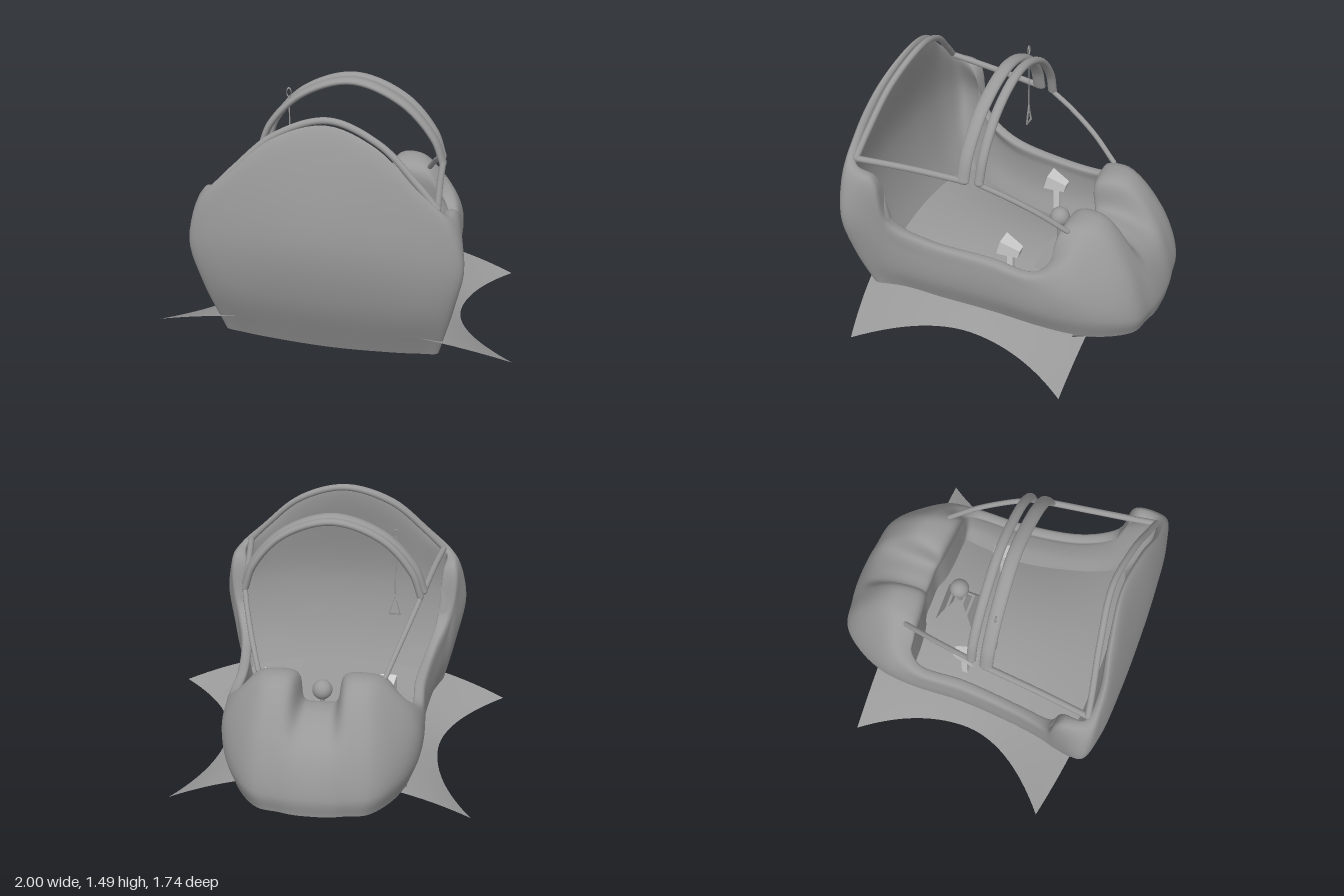
import * as THREE from 'three';

const paint = new THREE.MeshStandardMaterial({ color: 0x999999, side: THREE.DoubleSide });
const light = new THREE.MeshStandardMaterial({ color: 0xcccccc });
const V = (x, y, z) => new THREE.Vector3(x, y, z);

function part(parent, name, geometry, x = 0, y = 0, z = 0, material = paint) {
  const mesh = new THREE.Mesh(geometry, material);
  mesh.name = name;
  mesh.position.set(x, y, z);
  parent.add(mesh);
  return mesh;
}

// Surface through a grid of points; optionally closed along its first direction
function gridSurface(rows, closed) {
  const n = rows.length, m = rows[0].length, pos = [], idx = [];
  rows.forEach(r => r.forEach(p => pos.push(p.x, p.y, p.z)));
  for (let i = 0; i < (closed ? n : n - 1); i++) {
    for (let j = 0; j < m - 1; j++) {
      const a = i * m + j, b = ((i + 1) % n) * m + j;
      idx.push(a, a + 1, b, b, a + 1, b + 1);
    }
  }
  const g = new THREE.BufferGeometry();
  g.setAttribute('position', new THREE.Float32BufferAttribute(pos, 3));
  g.setIndex(idx);
  g.computeVertexNormals();
  return g;
}

// Half cross-sections: bottom, belly, shoulder, outer rim, inner rim
const nose = [
  [0, .12, -.855, 0, .23, -.87, 0, .47, -.77, 0, .60, -.56, 0, .58, -.40],
  [.10, .12, -.85, .10, .23, -.865, .10, .48, -.77, .09, .61, -.56, .09, .59, -.40],
  [.18, .12, -.83, .19, .23, -.85, .19, .53, -.75, .15, .76, -.55, .13, .735, -.375],
  [.30, .12, -.80, .33, .24, -.82, .31, .54, -.73, .27, .775, -.54, .28, .745, -.36],
  [.42, .13, -.66, .46, .28, -.68, .45, .52, -.60, .36, .74, -.49, .36, .72, -.355],
  [.49, .15, -.50, .54, .30, -.50, .54, .48, -.47, .48, .62, -.42, .44, .60, -.345]
];
const walls = [
  [.51, .155, -.32, .56, .30, -.31, .56, .45, -.30, .54, .53, -.28, .49, .53, -.27],
  [.50, .15, 0, .55, .30, 0, .555, .47, 0, .54, .54, 0, .49, .54, 0],
  [.53, .17, .32, .58, .32, .33, .59, .48, .34, .58, .585, .35, .53, .575, .35],
  [.56, .19, .50, .62, .36, .52, .64, .56, .53, .64, .70, .545, .58, .69, .545],
  [.58, .17, .58, .66, .42, .62, .695, .75, .625, .67, 1.0, .615, .60, .98, .62],
  [.60, .14, .64, .68, .48, .755, .735, .76, .785, .655, 1.03, .77, .61, 1.04, .74],
  [.50, .13, .655, .56, .48, .80, .59, .80, .84, .49, 1.18, .79, .47, 1.165, .765],
  [.28, .115, .66, .30, .48, .815, .30, .85, .865, .28, 1.365, .755, .27, 1.345, .73],
  [0, .105, .66, 0, .48, .82, 0, .87, .87, 0, 1.455, .72, 0, 1.435, .70]
];

// Adds the inside of the wall to a half section; the nose is filled up to its inner edge
function section(s) {
  const p = [0, 3, 6, 9, 12].map(i => V(s[i], s[i + 1], s[i + 2]));
  const q = p[4];
  const inset = o => {
    const k = 1 - .055 / Math.hypot(o.x, o.z);
    return V(o.x * k, o.y, q.z < 0 ? Math.max(o.z * k, q.z) : o.z * k);
  };
  const foot = inset(p[0]);
  if (q.z < -.3) foot.y = .2;
  return [...p, inset(p[2]), inset(p[1]), foot];
}

const mirrorRows = half => [
  ...half, ...half.slice(1).reverse().map(r => r.map(p => V(-p.x, p.y, p.z)))
];

function hullGeometry() {
  const ring = mirrorRows([...nose, ...walls].map(section));
  ring.splice(nose.length + walls.length, 1); // the front centre is shared
  const U = ring.length * 6, W = 42, rows = [];
  const rails = ring[0].map((_, j) => new THREE.CatmullRomCurve3(ring.map(r => r[j]), true));
  for (let i = 0; i < U; i++) {
    const profile = new THREE.CatmullRomCurve3(rails.map(c => c.getPoint(i / U)));
    rows.push(Array.from({ length: W + 1 }, (_, j) => profile.getPoint(j / W)));
  }
  return gridSurface(rows, true);
}

// Underside of the nose, from its lower edge to the back of the floor
function noseBottomGeometry() {
  const half = nose.map(([x, y, z]) => [V(x, y, z), V(x, .195 - .276 * x * x, Math.max(z, -.55))]);
  const left = half.slice().reverse();
  const right = half.slice(1).map(r => r.map(p => V(-p.x, p.y, p.z)));
  return gridSurface([...left, ...right], false);
}

// Arched floor sheet with a waist on both sides
function floorGeometry() {
  const rows = [];
  for (let i = 0; i <= 32; i++) {
    const v = i / 32, z = -.57 + 1.2 * v, k = (z - .03) / .6;
    const w = .63 + (k < 0 ? .22 : .37) * k * k;
    rows.push(Array.from({ length: 33 }, (_, j) => {
      const u = j / 16 - 1, arch = 1 - u * u;
      return V(u * w, .13 * v + .19 * arch, z + .125 * v * arch);
    }));
  }
  return gridSurface(rows, false);
}

function tube(parent, name, points, radius) {
  const curve = new THREE.CatmullRomCurve3(points.map(p => V(...p)));
  part(parent, name, new THREE.TubeGeometry(curve, 40, radius, 10));
  for (const p of [points[0], points[points.length - 1]]) {
    part(parent, name + 'End', new THREE.SphereGeometry(radius, 12, 8), ...p);
  }
}

// Hoop with an oval section, mirrored from its left half (foot to crown)
function hoop(parent, name, half, thick, wide) {
  const other = half.slice(0, -1).reverse().map(([x, y, z]) => [-x, y, z]);
  const curve = new THREE.CatmullRomCurve3([...half, ...other].map(p => V(...p)));
  const rows = Array.from({ length: 65 }, (_, i) => {
    const c = curve.getPoint(i / 64), t = curve.getTangent(i / 64);
    const n = V(-t.y, t.x, 0).normalize();
    return Array.from({ length: 17 }, (_, j) => {
      const a = j / 16 * Math.PI * 2;
      return c.clone().addScaledVector(n, thick * Math.cos(a)).add(V(0, 0, wide * Math.sin(a)));
    });
  });
  part(parent, name, gridSurface(rows, false));
  for (const s of [1, -1]) {
    const [x, y, z] = half[0];
    part(parent, name + 'Foot', new THREE.SphereGeometry(thick, 12, 8), s * x, y, z).scale.z = wide / thick;
  }
}

// Square frustum with flat sides
function frustum(top, bottom, height) {
  const g = new THREE.CylinderGeometry(top * Math.SQRT2, bottom * Math.SQRT2, height, 4);
  g.rotateY(Math.PI / 4);
  const flat = g.toNonIndexed();
  flat.computeVertexNormals();
  return flat;
}

export function createModel() {
  const model = new THREE.Group();
  model.name = 'cockpit';
  part(model, 'hull', hullGeometry());
  part(model, 'noseBottom', noseBottomGeometry());
  part(model, 'floor', floorGeometry());

  // Canopy frame
  const frame = new THREE.Group();
  frame.name = 'canopyFrame';
  model.add(frame);
  hoop(frame, 'frontHoop', [[.59, 1.065, .75], [.48, 1.18, .73], [.28, 1.36, .69], [0, 1.455, .655]], .018, .018);
  hoop(frame, 'mainHoop', [[.515, 1.04, .145], [.46, 1.18, .14], [.28, 1.37, .13], [0, 1.467, .12]], .02, .038);
  hoop(frame, 'rearHoop', [[.50, 1.04, .055], [.45, 1.18, .05], [.28, 1.37, .045], [0, 1.467, .04]], .02, .027);
  for (const s of [1, -1]) {
    tube(frame, 'sideRail', [[s * .515, 1.04, .15], [s * .55, 1.055, .45], [s * .59, 1.06, .75]], .018);
    tube(frame, 'rearStrut', [[s * .50, 1.03, .05], [s * .465, .97, -.08], [s * .41, .87, -.25], [s * .35, .75, -.40]], .015);
  }

  // Hanging pull handle
  const pull = new THREE.Group();
  pull.name = 'pullHandle';
  pull.position.set(-.35, 0, .14);
  model.add(pull);
  const ring = part(pull, 'pullRing', new THREE.TorusGeometry(.02, .004, 6, 16), 0, 1.375, 0);
  ring.scale.set(.65, 1.3, 1);
  part(pull, 'pullCord', new THREE.CylinderGeometry(.004, .004, .35, 6), 0, 1.18, 0);
  const grip = part(pull, 'pullGrip', new THREE.TorusGeometry(.06, .006, 6, 3), 0, .925, 0);
  grip.rotation.z = Math.PI / 2;
  grip.scale.set(1.3, .6, 1);

  // Control stick
  const stick = new THREE.Group();
  stick.name = 'controlStick';
  stick.position.set(.02, 0, -.22);
  model.add(stick);
  part(stick, 'stickBase', frustum(.07, .12, .12), 0, .27, 0);
  part(stick, 'stickBoot', frustum(.03, .055, .06), 0, .36, 0);
  part(stick, 'stickShaft', new THREE.CylinderGeometry(.015, .015, .2, 12), 0, .45, 0);
  part(stick, 'stickKnob', new THREE.SphereGeometry(.057, 24, 16), 0, .56, 0);

  // Side levers: tapered head on a post
  for (const s of [1, -1]) {
    const lever = new THREE.Group();
    lever.name = 'sideLever';
    lever.position.set(s * .335, .51, -.055);
    model.add(lever);
    const head = part(lever, 'leverHead', frustum(.026, .048, .12), 0, 0, 0, light);
    head.rotation.x = -Math.PI / 2 - .25;
    part(lever, 'leverPost', new THREE.BoxGeometry(.035, .28, .035), 0, -.16, 0, light);
  }
  return model;
}
